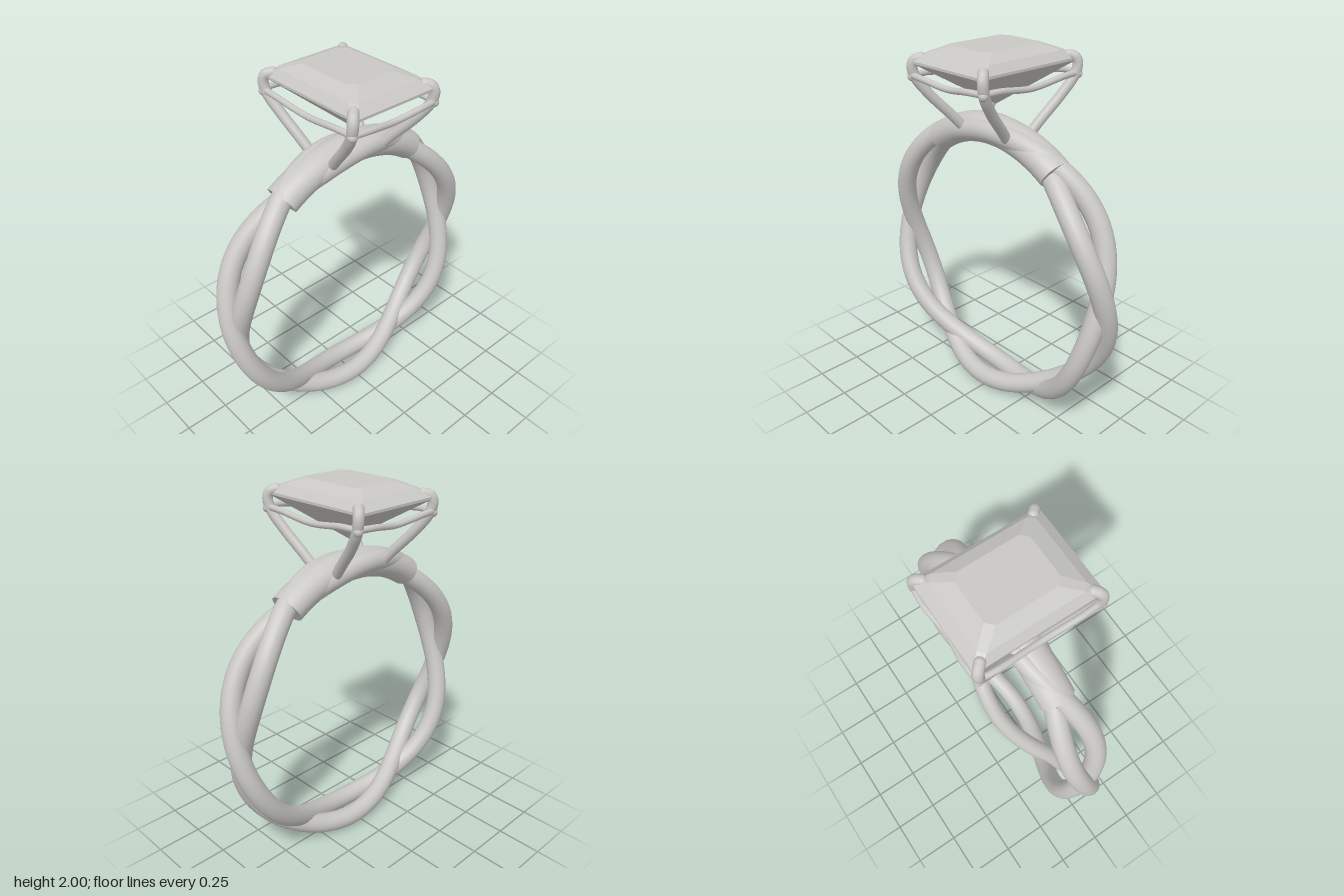
import * as THREE from 'three';

const CENTRE_Y = 0.815;
const V = (x, y, z) => new THREE.Vector3(x, y, z);

// One of the two intertwined strands; sign picks which
class StrandCurve extends THREE.Curve {
  constructor(sign) {
    super();
    this.sign = sign;
  }
  getPoint(t, target = new THREE.Vector3()) {
    const a = t * Math.PI * 2;
    const top = Math.max(0, Math.sin(a)) ** 12; // strands draw together under the setting
    const r = 0.755 + this.sign * 0.021 * Math.cos(3 * a);
    const z = this.sign * (0.079 - 0.02 * top) * Math.sin(3 * a);
    return target.set(r * Math.cos(a), CENTRE_Y + r * Math.sin(a), z);
  }
}

// Step-cut stone: eight-sided rings [halfX, halfZ, chamfer, y] from table to point
function stoneGeometry() {
  const rings = [
    [0.145, 0.19, 0.035, 2.0],
    [0.215, 0.275, 0.03, 1.965],
    [0.25, 0.33, 0.02, 1.925],
    [0.25, 0.33, 0.02, 1.912],
    [0.001, 0.001, 0.0002, 1.70],
  ].map(([x, z, c, y]) => [
    V(x, y, z - c), V(x, y, -z + c), V(x - c, y, -z), V(-x + c, y, -z),
    V(-x, y, -z + c), V(-x, y, z - c), V(-x + c, y, z), V(x - c, y, z),
  ]);
  const pts = [];
  for (let i = 0; i < 8; i++) {
    const j = (i + 1) % 8;
    pts.push(V(0, 2.0, 0), rings[0][i], rings[0][j]);
    for (let k = 0; k < rings.length - 1; k++) {
      const a = rings[k], b = rings[k + 1];
      pts.push(a[i], b[i], b[j], a[i], b[j], a[j]);
    }
  }
  const g = new THREE.BufferGeometry().setFromPoints(pts);
  g.computeVertexNormals();
  return g;
}

export function createModel() {
  const model = new THREE.Group();
  model.name = 'ring';
  const metal = new THREE.MeshStandardMaterial({ color: 0xc8c7c4 });
  metal.name = 'pale grey';

  const add = (name, geometry, parent = model) => {
    const mesh = new THREE.Mesh(geometry, metal);
    mesh.name = name;
    parent.add(mesh);
    return mesh;
  };
  const wire = (points, radius, segments) =>
    new THREE.TubeGeometry(new THREE.CatmullRomCurve3(points), segments, radius, 12);

  // Twisted band
  add('strandA', new THREE.TubeGeometry(new StrandCurve(1), 240, 0.055, 20, true));
  add('strandB', new THREE.TubeGeometry(new StrandCurve(-1), 240, 0.055, 20, true));

  // Solid sleeve across the top of the band, with closed ends
  const start = THREE.MathUtils.degToRad(56);
  const arc = Math.PI - 2 * start;
  const sleeve = new THREE.Group();
  sleeve.name = 'sleeve';
  sleeve.position.y = CENTRE_Y;
  sleeve.scale.z = 1.17;
  model.add(sleeve);
  add('sleeveBody', new THREE.TorusGeometry(0.75, 0.08, 24, 48, arc).rotateZ(start), sleeve);
  for (const [angle, turn] of [[start, Math.PI / 2], [start + arc, -Math.PI / 2]]) {
    const cap = new THREE.CircleGeometry(0.08, 24)
      .rotateX(turn).translate(0.75, 0, 0).rotateZ(angle);
    add('sleeveEnd', cap, sleeve);
  }

  // Four claws, each rising from the sleeve and hooking over a stone corner
  for (const sx of [-1, 1]) {
    for (const sz of [-1, 1]) {
      const path = [
        [0.165, 1.56, 0.075], [0.185, 1.63, 0.135], [0.22, 1.74, 0.235],
        [0.25, 1.84, 0.305], [0.255, 1.90, 0.318], [0.245, 1.928, 0.308], [0.222, 1.938, 0.285],
      ].map(([x, y, z]) => V(sx * x, y, sz * z));
      const claw = new THREE.Group();
      claw.name = 'claw';
      model.add(claw);
      add('clawWire', wire(path, 0.027, 40), claw);
      for (const end of [path[0], path[path.length - 1]]) {
        add('clawEnd', new THREE.SphereGeometry(0.027, 14, 10), claw).position.copy(end);
      }
      // Small bead where the rails meet the claw
      add('railJoint', new THREE.SphereGeometry(0.024, 14, 10), claw)
        .position.set(sx * 0.258, 1.845, sz * 0.318);
    }
  }

  // Gallery rails sagging between the claws
  for (const s of [-1, 1]) {
    add('longRail', wire([
      V(s * 0.256, 1.85, -0.315), V(s * 0.262, 1.85, -0.22), V(s * 0.252, 1.825, 0),
      V(s * 0.262, 1.85, 0.22), V(s * 0.256, 1.85, 0.315),
    ], 0.016, 40));
    add('shortRail', wire([
      V(-0.25, 1.852, s * 0.322), V(-0.16, 1.848, s * 0.328), V(0, 1.828, s * 0.312),
      V(0.16, 1.848, s * 0.328), V(0.25, 1.852, s * 0.322),
    ], 0.016, 40));
  }

  add('stone', stoneGeometry());
  return model;
}
